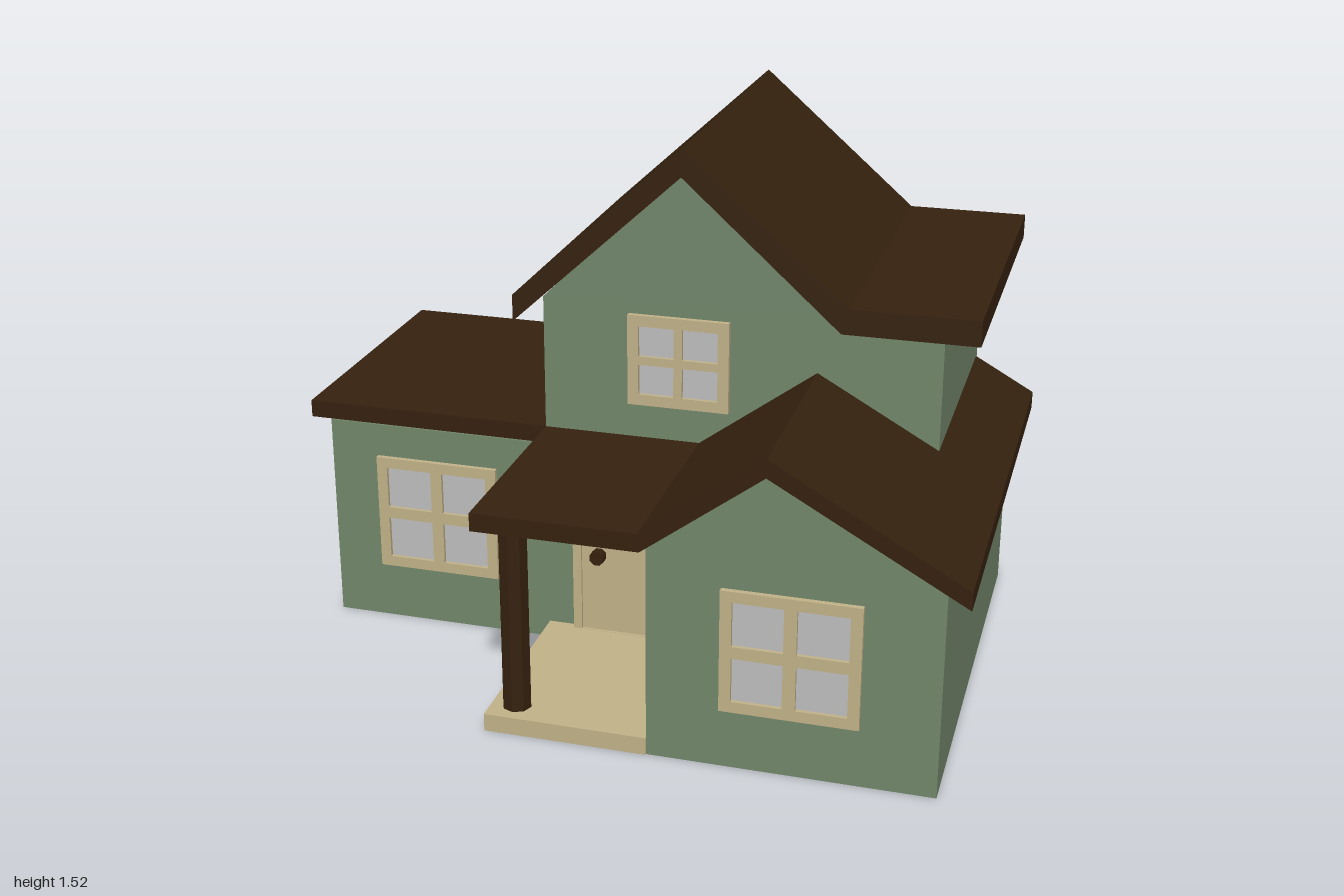
import * as THREE from 'three';

export function createModel() {
  const mat = (name, color, side = THREE.FrontSide) => {
    const m = new THREE.MeshStandardMaterial({ color, side });
    m.name = name;
    return m;
  };
  const green = mat('green siding', 0x71866a, THREE.DoubleSide);
  const brown = mat('dark brown roof', 0x35210e);
  const cream = mat('cream trim', 0xc1b188);
  const glass = mat('grey glass', 0xbdbdbd);

  const house = new THREE.Group();
  house.name = 'house';

  const add = (parent, name, geometry, material, x = 0, y = 0, z = 0) => {
    const mesh = new THREE.Mesh(geometry, material);
    mesh.name = name;
    mesh.position.set(x, y, z);
    parent.add(mesh);
    return mesh;
  };
  // Box given by its extents on each axis
  const box = (parent, name, material, [x0, x1], [y0, y1], [z0, z1]) =>
    add(parent, name, new THREE.BoxGeometry(x1 - x0, y1 - y0, z1 - z0), material,
      (x0 + x1) / 2, (y0 + y1) / 2, (z0 + z1) / 2);
  const outline = (pts) => new THREE.Shape(pts.map(([x, y]) => new THREE.Vector2(x, y)));

  // Solid profile running from z0 to z1
  const prism = (name, material, pts, z0, z1) =>
    add(house, name, new THREE.ExtrudeGeometry(outline(pts), { depth: z1 - z0, bevelEnabled: false }),
      material, 0, 0, z0);

  // Hollow walls without a floor; the outline runs from bottom right round to bottom left
  const shell = (name, pts, z0, z1) => {
    const group = new THREE.Group();
    group.name = name;
    house.add(group);
    const face = new THREE.ShapeGeometry(outline(pts));
    add(group, 'frontWall', face, green, 0, 0, z1);
    add(group, 'backWall', face, green, 0, 0, z0);
    const pos = [];
    for (let i = 0; i < pts.length - 1; i++) {
      const [ax, ay] = pts[i], [bx, by] = pts[i + 1];
      pos.push(ax, ay, z1, ax, ay, z0, bx, by, z0, ax, ay, z1, bx, by, z0, bx, by, z1);
    }
    const sides = new THREE.BufferGeometry();
    sides.setAttribute('position', new THREE.Float32BufferAttribute(pos, 3));
    sides.computeVertexNormals();
    add(group, 'sideWalls', sides, green);
  };

  // Walls: tower with low left wing, and the gabled right wing
  shell('mainWalls', [
    [0.825, 0], [0.825, 1.057], [0.57, 1.057], [0.14, 1.44],
    [-0.28, 1.05], [-0.28, 0.612], [-0.94, 0.612], [-0.94, 0],
  ], -0.64, 0.14);
  shell('rightWingWalls', [
    [0.935, 0], [0.935, 0.602], [0.49, 0.851], [0.17, 0.612], [0.17, 0],
  ], -0.62, 0.685);

  // Roofs
  prism('towerRoof', brown, [
    [-0.33, 1.01], [0.14, 1.445], [0.57, 1.06], [0.93, 1.06],
    [0.93, 1.13], [0.59, 1.13], [0.14, 1.52], [-0.33, 1.085],
  ], -0.75, 0.25);
  prism('porchAndRightWingRoof', brown, [
    [-0.28, 0.615], [0.17, 0.615], [0.49, 0.855], [1, 0.57],
    [1, 0.62], [0.49, 0.905], [0.165, 0.665], [-0.28, 0.665],
  ], -0.62, 0.745);
  box(house, 'leftWingRoof', brown, [-1, -0.28], [0.615, 0.665], [-0.7, 0.14]);

  // Porch
  box(house, 'porchFloor', cream, [-0.28, 0.17], [0, 0.05], [0.14, 0.69]);
  const postShape = new THREE.CylinderGeometry(0.04, 0.04, 0.57, 8).toNonIndexed();
  postShape.computeVertexNormals();
  add(house, 'porchPost', postShape, brown, -0.21, 0.333, 0.62);

  // Front door with frame and knob
  const door = new THREE.Group();
  door.name = 'frontDoor';
  house.add(door);
  const frame = outline([[-0.2, 0.05], [0.11, 0.05], [0.11, 0.545], [-0.2, 0.545]]);
  frame.holes.push(outline([[-0.175, 0.051], [-0.175, 0.525], [0.085, 0.525], [0.085, 0.051]]));
  add(door, 'doorFrame', new THREE.ExtrudeGeometry(frame, { depth: 0.022, bevelEnabled: false }),
    cream, 0, 0, 0.138);
  box(door, 'doorPanel', cream, [-0.175, 0.085], [0.05, 0.525], [0.138, 0.152]);
  const knob = add(door, 'doorKnob', new THREE.CylinderGeometry(0.022, 0.022, 0.03, 8), brown,
    -0.123, 0.29, 0.165);
  knob.rotation.set(Math.PI / 2, Math.PI / 8, 0);

  // Four-pane windows, visible from both sides of the wall
  const addWindow = (name, x, y, z, w, h, border, bar) => {
    const group = new THREE.Group();
    group.name = name;
    group.position.set(x, y, z);
    house.add(group);
    const rect = (x0, x1, y0, y1) => outline([[x0, y0], [x1, y0], [x1, y1], [x0, y1]]);
    const shape = rect(-w / 2, w / 2, -h / 2, h / 2);
    const px = w / 2 - border, py = h / 2 - border;
    for (const sx of [-1, 1]) {
      for (const sy of [-1, 1]) {
        const xs = [sx * bar / 2, sx * px].sort((a, b) => a - b);
        const ys = [sy * bar / 2, sy * py].sort((a, b) => a - b);
        shape.holes.push(rect(xs[0], xs[1], ys[0], ys[1]));
      }
    }
    add(group, 'windowFrame', new THREE.ExtrudeGeometry(shape, { depth: 0.03, bevelEnabled: false }),
      cream, 0, 0, -0.015);
    box(group, 'windowGlass', glass, [-px, px], [-py, py], [-0.004, 0.004]);
  };
  addWindow('leftWingWindow', -0.615, 0.343, 0.14, 0.365, 0.345, 0.031, 0.034);
  addWindow('rightWingWindow', 0.55, 0.343, 0.685, 0.365, 0.345, 0.031, 0.034);
  addWindow('towerWindow', 0.107, 0.895, 0.14, 0.285, 0.26, 0.031, 0.024);

  return house;
}
